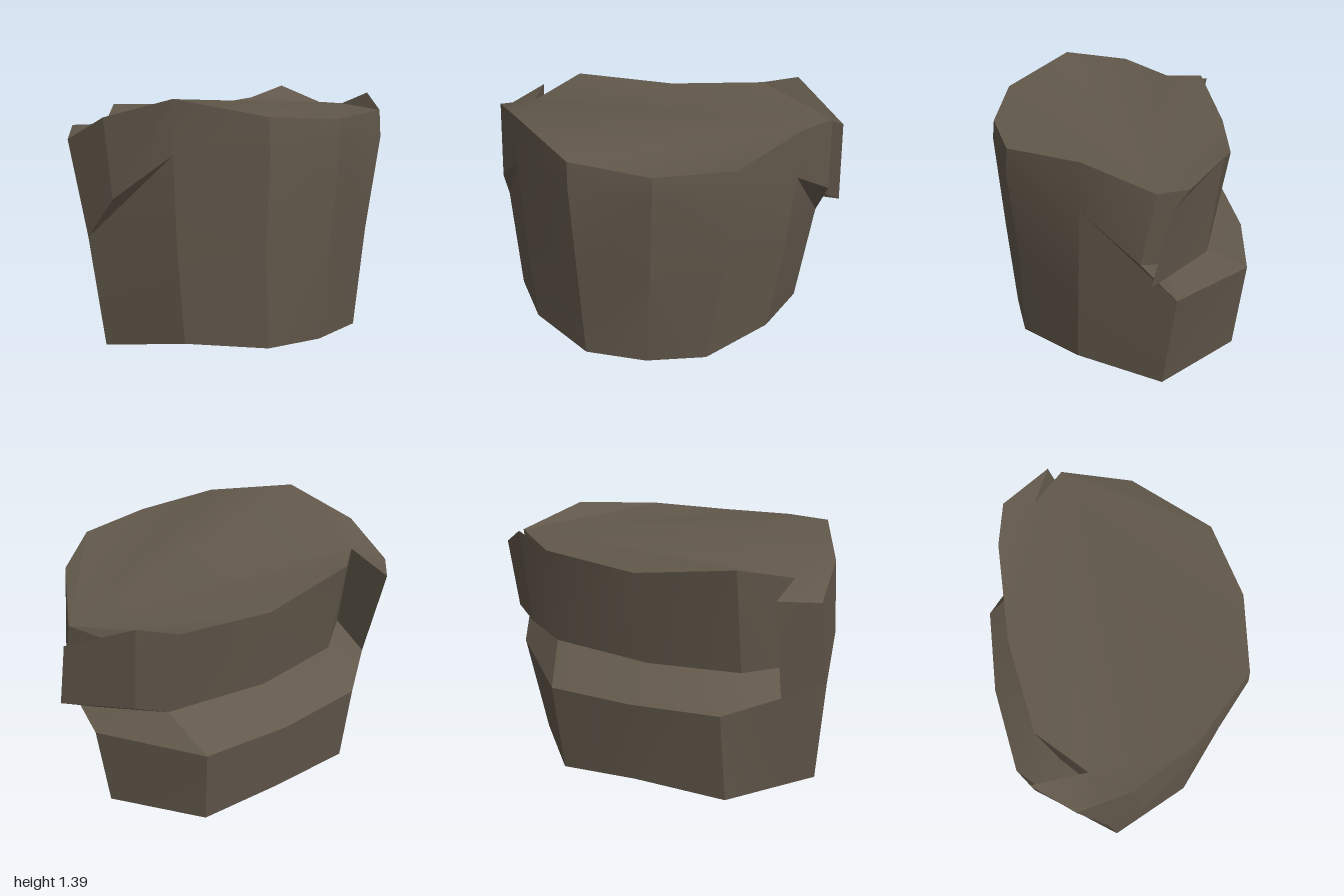
import * as THREE from 'three';
import { toCreasedNormals } from 'three/addons/utils/BufferGeometryUtils.js';

const wood = new THREE.MeshStandardMaterial({ color: 0x62584b, side: THREE.DoubleSide });
wood.name = 'dark weathered wood';

// Triangles joining two cross-sections that run right to left as seen from outside.
// The diagonals are mirrored about the middle so both ends fold alike.
function strip(top, bottom) {
  const tris = [];
  const half = (top.length - 1) / 2;
  for (let i = 0; i < top.length - 1; i++) {
    const a = top[i], b = top[i + 1], c = bottom[i + 1], d = bottom[i];
    const quad = i + 0.5 < half ? [[a, b, d], [b, c, d]] : [[a, b, c], [a, c, d]];
    for (const t of quad) if (new Set(t).size === 3) tris.push(t);
  }
  return tris;
}

// Triangles from one point to a clockwise line of points, facing up.
function fan(centre, line) {
  return line.slice(1).map((p, i) => [centre, p, line[i]]);
}

function part(name, tris, crease = 0.3) {
  const geo = new THREE.BufferGeometry();
  geo.setAttribute('position', new THREE.Float32BufferAttribute(tris.flat(2), 3));
  geo.computeVertexNormals();
  const mesh = new THREE.Mesh(toCreasedNormals(geo, crease), wood);
  mesh.name = name;
  return mesh;
}

export function createModel() {
  const group = new THREE.Group();
  group.name = 'cutStump';

  // Front rings, from the model's left side round the front to its right side
  const rim = [[0.93, 1.24, -0.11], [0.74, 1.34, 0.26], [0.4, 1.28, 0.64], [-0.03, 1.265, 0.72],
    [-0.48, 1.3, 0.64], [-0.82, 1.39, 0.28], [-0.98, 1.28, -0.1]];
  const upper = [[0.93, 0.84, -0.03], [0.73, 1.06, 0.27], [0.4, 1.13, 0.65], [-0.03, 1.16, 0.73],
    [-0.48, 1.14, 0.65], [-0.82, 1.1, 0.28], [-0.98, 0.85, -0.03]];
  const middle = [[0.88, 0.585, -0.23], [0.68, 0.58, 0.28], [0.34, 0.6, 0.6], [-0.05, 0.6, 0.685],
    [-0.46, 0.6, 0.6], [-0.8, 0.6, 0.28], [-1, 0.62, -0.23]];
  const foot = [[0.78, 0, -0.17], [0.6, 0.08, 0.29], [0.26, 0.05, 0.59], [-0.08, 0.04, 0.635],
    [-0.43, 0.05, 0.59], [-0.76, 0.08, 0.29], [-0.94, 0.01, -0.17]];

  // Flap of bark standing free at the rear on the -x side
  const flapSide = [-1, 1.14, -0.4], flapTop = [-0.82, 1.19, -0.61], flapBase = [-0.82, 0.6, -0.47];

  // Rear lower wall and the ledge above it
  const ledgeOuter = [flapBase, [-0.56, 0.54, -0.69], [-0.05, 0.535, -0.73], [0.45, 0.525, -0.68], middle[0]];
  const footBack = [[-0.75, 0.01, -0.4], [-0.57, 0.01, -0.62], [-0.05, 0.055, -0.67], [0.42, 0.01, -0.62], foot[0]];
  const ledgeInner = [[-0.8, 0.7, -0.25], [-0.58, 0.69, -0.43], [-0.06, 0.69, -0.5], [0.54, 0.71, -0.435], [0.83, 0.71, -0.18]];

  // Rear upper band, leaning outward, ending in a tip on the +x side
  const bandTop = [[-0.82, 1.22, -0.3], [-0.58, 1.3, -0.535], [-0.02, 1.23, -0.585],
    [0.53, 1.275, -0.54], [0.74, 1.345, -0.47], [1, 1.18, -0.18]];
  const bandBase = [...ledgeInner.slice(0, 4), [0.72, 0.79, -0.4], [1, 0.745, -0.08]];

  // Deep end of the notch beside the tip
  const notchTop = [0.78, 1.19, -0.3], notchBase = [0.78, 0.76, -0.2];

  group.add(part('frontBark', [
    ...strip(rim, upper), ...strip(upper, middle), ...strip(middle, foot),
  ]));
  group.add(part('barkFlap', [
    [rim[6], middle[6], upper[6]],
    [rim[6], flapSide, middle[6]],
    [flapSide, flapTop, flapBase],
    [flapSide, flapBase, middle[6]],
    ...strip([flapTop, bandTop[0]], [flapBase, bandBase[0]]),
  ]));
  group.add(part('rearBark', strip([middle[6], ...ledgeOuter], [foot[6], ...footBack])));
  group.add(part('rearLedge', strip(ledgeInner, ledgeOuter)));
  group.add(part('rearBand', strip(bandTop, bandBase)));
  group.add(part('sideNotch', [
    ...strip([bandTop[5], notchTop, rim[0]], [bandBase[5], notchBase, upper[0]]),
    ...strip(bandBase.slice(3), [ledgeInner[3], ledgeInner[3], ledgeInner[4]]),
    [upper[0], middle[0], ledgeInner[4]],
    [upper[0], ledgeInner[4], notchBase],
    [notchBase, ledgeInner[4], bandBase[5]],
  ]));

  // Sloping cut top, folded along lines from the notch corner; the underside is open
  group.add(part('cutTop', [
    ...fan(rim[0], [...rim.slice(1, 6), ...bandTop.slice(0, 4), notchTop]),
    ...fan(bandTop[0], [rim[5], rim[6], flapSide, flapTop]),
    ...fan(notchTop, bandTop.slice(3)),
  ], 0.6));
  return group;
}
